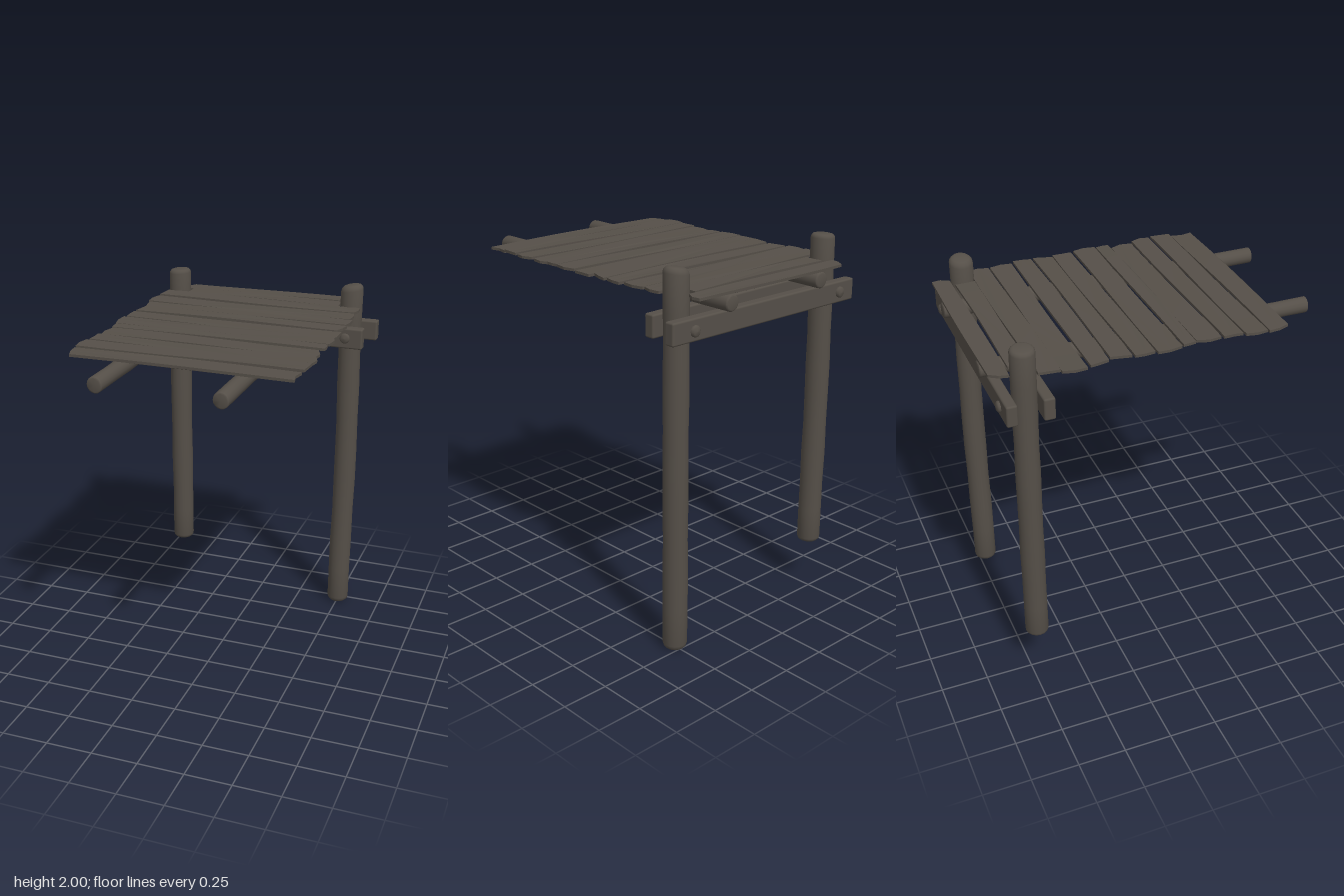
import * as THREE from 'three';
import { mergeVertices, toCreasedNormals } from 'three/addons/utils/BufferGeometryUtils.js';
import { RoundedBoxGeometry } from 'three/addons/geometries/RoundedBoxGeometry.js';

const wood = new THREE.MeshStandardMaterial({ color: 0x554f48 });
wood.name = 'weathered wood';

// Round timber along y from 0 to length, slightly wavy, with rounded ends and a sloped top
function logGeometry(radius, length, round, seed, wobble, slope) {
  const profile = [new THREE.Vector2(0, 0)];
  for (let i = 0; i <= 3; i++) {
    const a = (i / 3) * Math.PI / 2;
    profile.push(new THREE.Vector2(radius - round + round * Math.sin(a), round * (1 - Math.cos(a))));
  }
  for (let i = 1; i < 10; i++) {
    const r = radius * (1 + 0.025 * Math.sin(i * 2.3 + seed));
    profile.push(new THREE.Vector2(r, round + (length - 2 * round) * i / 10));
  }
  for (let i = 3; i >= 0; i--) {
    const a = (i / 3) * Math.PI / 2;
    profile.push(new THREE.Vector2(radius - round + round * Math.sin(a), length - round * (1 - Math.cos(a))));
  }
  profile.push(new THREE.Vector2(0, length));

  let geo = new THREE.LatheGeometry(profile, 16);
  const p = geo.attributes.position;
  for (let i = 0; i < p.count; i++) {
    const x = p.getX(i), y = p.getY(i), z = p.getZ(i);
    const top = y > length * 0.95 ? 1 : 0;
    p.setXYZ(i,
      x + wobble * Math.sin(y * 4 + seed),
      y + top * slope * (x / radius - 1),
      z + wobble * Math.sin(y * 3 + seed * 2));
  }
  geo.deleteAttribute('uv');
  geo.deleteAttribute('normal');
  geo = mergeVertices(geo, 1e-4);
  return toCreasedNormals(geo, 0.75);
}

// Thin board: z range, left and right ends given as [back, middle, front] x values, rest height
function plankGeometry(z0, z1, left, right, seed) {
  const zm = (z0 + z1) / 2, steps = 8;
  const shape = new THREE.Shape();
  const edge = (t, z, i) => z + 0.003 * Math.sin(t * 5 + seed * 3 + i);
  shape.moveTo(left[1], -zm);
  for (let i = 0; i <= steps; i++) {
    const t = i / steps;
    shape.lineTo(THREE.MathUtils.lerp(left[2], right[2], t), -edge(t, z1, 0));
  }
  shape.lineTo(right[1], -zm);
  for (let i = steps; i >= 0; i--) {
    const t = i / steps;
    shape.lineTo(THREE.MathUtils.lerp(left[0], right[0], t), -edge(t, z0, 2));
  }
  const geo = new THREE.ExtrudeGeometry(shape, { depth: 0.014, bevelEnabled: false });
  geo.rotateX(-Math.PI / 2);
  const p = geo.attributes.position;
  for (let i = 0; i < p.count; i++) {
    p.setY(i, p.getY(i) + 0.003 * Math.sin(p.getX(i) * 4 + seed * 1.7));
  }
  geo.computeVertexNormals();
  return geo;
}

export function createModel() {
  const model = new THREE.Group();
  model.name = 'plankCanopy';
  const add = (name, geo, x, y, z) => {
    const mesh = new THREE.Mesh(geo, wood);
    mesh.name = name;
    mesh.position.set(x, y, z);
    model.add(mesh);
    return mesh;
  };

  // Upright posts of unequal length
  add('rightPost', logGeometry(0.062, 1.73, 0.022, 1, 0.002, 0.004), -0.525, 0.27, -0.715);
  const leftPost = add('leftPost', logGeometry(0.063, 2, 0.032, 4, 0.003, 0.01), 0.503, 0, -0.715);
  leftPost.rotation.z = -0.004;

  // Clamping beams in front of and behind the posts
  const frontBeam = add('frontBeam', new RoundedBoxGeometry(1.25, 0.117, 0.058, 2, 0.01), -0.022, 1.711, -0.629);
  frontBeam.rotation.z = -0.005;
  const backBeam = add('backBeam', new RoundedBoxGeometry(1.28, 0.113, 0.056, 2, 0.01), 0.004, 1.712, -0.808);
  backBeam.rotation.z = 0.004;

  // Domed bolts on the outer faces of both beams
  const boltProfile = [[0.029, 0], [0.028, 0.011], [0.02, 0.018], [0, 0.021]];
  const boltGeo = new THREE.LatheGeometry(boltProfile.map(([r, y]) => new THREE.Vector2(r, y)), 12);
  for (const x of [-0.525, 0.505]) {
    add('frontBolt', boltGeo, x, 1.71, -0.602).rotation.x = Math.PI / 2;
    add('backBolt', boltGeo, x, 1.71, -0.834).rotation.x = -Math.PI / 2;
  }

  // Long poles carrying the boards
  [[-0.33, 2], [0.305, 5]].forEach(([x, seed]) => {
    const pole = add('roofPole', logGeometry(0.042, 1.755, 0.008, seed, 0.0015, 0.004), x, 1.811, -0.878);
    pole.rotation.x = Math.PI / 2;
  });

  // Roof boards, back to front
  const planks = [
    [-0.875, -0.78, [-0.485, -0.515, -0.525], [0.515, 0.52, 0.495]],
    [-0.765, -0.665, [-0.46, -0.455, -0.46], [0.44, 0.44, 0.445]],
    [-0.66, -0.55, [-0.575, -0.58, -0.585], [0.57, 0.575, 0.56]],
    [-0.543, -0.425, [-0.59, -0.605, -0.6], [0.565, 0.578, 0.57]],
    [-0.408, -0.305, [-0.587, -0.58, -0.57], [0.592, 0.59, 0.58]],
    [-0.295, -0.195, [-0.56, -0.57, -0.58], [0.59, 0.58, 0.56]],
    [-0.183, -0.075, [-0.585, -0.588, -0.583], [0.59, 0.588, 0.588]],
    [-0.065, 0.06, [-0.595, -0.598, -0.585], [0.585, 0.6, 0.59]],
    [0.07, 0.143, [-0.578, -0.575, -0.57], [0.585, 0.59, 0.588]],
    [0.148, 0.272, [-0.56, -0.578, -0.57], [0.56, 0.585, 0.575]],
    [0.283, 0.387, [-0.583, -0.58, -0.585], [0.585, 0.605, 0.595]],
    [0.397, 0.507, [-0.595, -0.607, -0.6], [0.598, 0.595, 0.59]],
    [0.52, 0.637, [-0.6, -0.595, -0.575], [0.582, 0.57, 0.582]],
  ];
  planks.forEach(([z0, z1, left, right], i) => {
    add('roofPlank', plankGeometry(z0, z1, left, right, i), 0, 1.856 + 0.003 * (i % 3), 0);
  });

  return model;
}
